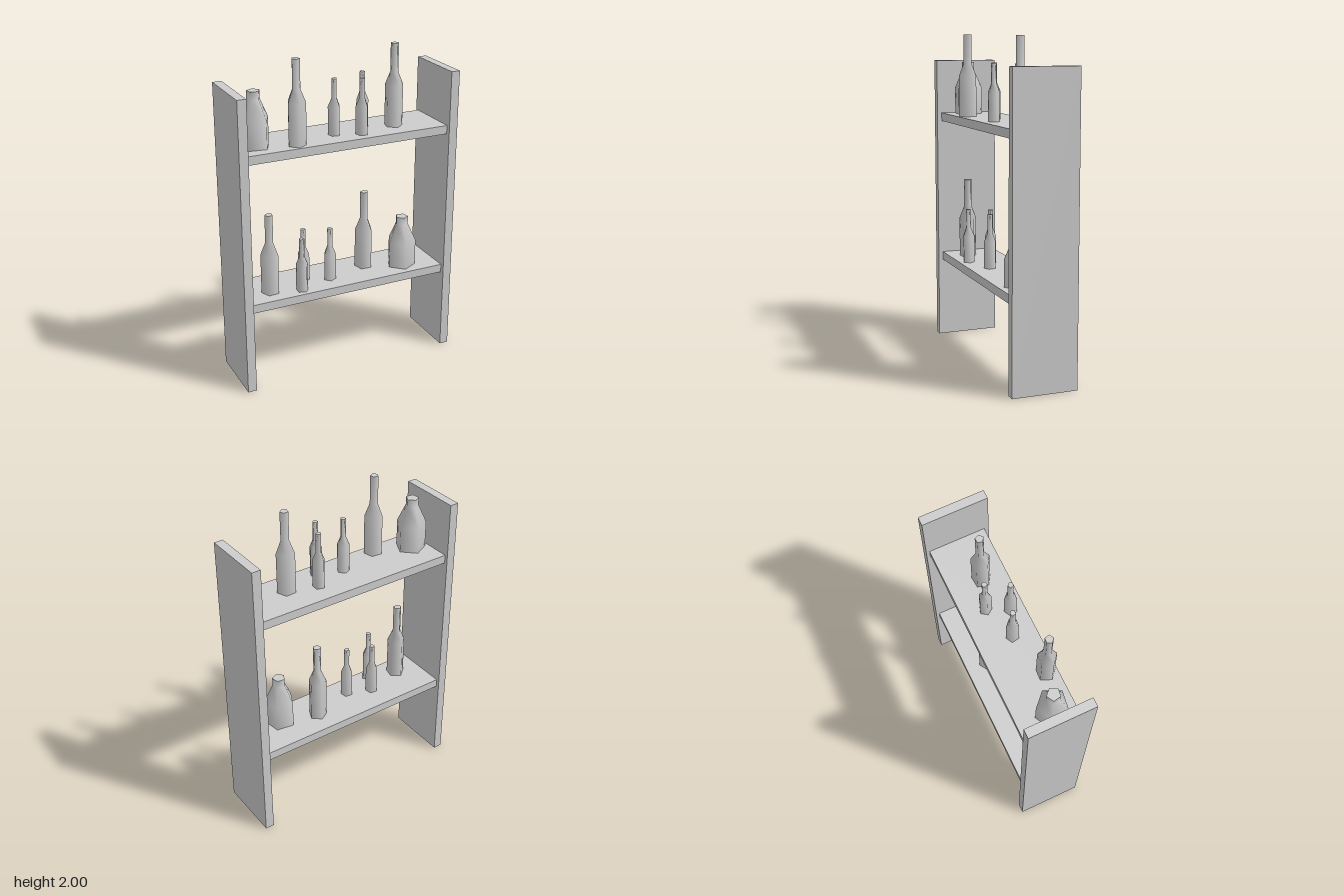
import * as THREE from 'three';
import { mergeGeometries } from 'three/addons/utils/BufferGeometryUtils.js';

const grey = new THREE.MeshStandardMaterial({ color: 0xcccccc, side: THREE.DoubleSide });
grey.name = 'plain grey';

// Box made of chosen faces only (0 +x, 1 -x, 2 +y, 3 -y, 4 +z, 5 -z)
function openBox(w, h, d, faces) {
  const geo = new THREE.BoxGeometry(w, h, d);
  const all = Array.from(geo.index.array);
  geo.setIndex(faces.flatMap((f) => all.slice(f * 6, f * 6 + 6)));
  geo.clearGroups();
  return geo;
}

function addMesh(parent, name, geo, x, y, z) {
  const mesh = new THREE.Mesh(geo, grey);
  mesh.name = name;
  mesh.position.set(x, y, z);
  parent.add(mesh);
  return mesh;
}

// Profiles as [radius, height]; the open foot sinks slightly into the shelf
const SINK = -0.008;
const slim = (s) => [[0.038 * s, SINK], [0.038 * s, 0.17 * s], [0.017 * s, 0.222 * s], [0.017 * s, 0.34 * s]];
const profiles = {
  smallBottle: slim(1),
  tallBottle: slim(1.485),
  wideBottle: [[0.092, SINK], [0.092, 0.165], [0.04, 0.28], [0.04, 0.33]],
};

// Five-sided bottle with smooth sides and a flat cap
function bottleGeometry(profile) {
  const points = profile.map(([r, y]) => new THREE.Vector2(r, y));
  const top = points[points.length - 1];
  return mergeGeometries([
    new THREE.LatheGeometry(points, 5),
    new THREE.LatheGeometry([top, new THREE.Vector2(0, top.y)], 5),
  ]);
}

// Kind, x, z, direction of one corner in degrees from +x towards +z
const bottles = [
  ['wideBottle', -0.538, 0.025, -82],
  ['tallBottle', -0.313, 0.103, 94],
  ['smallBottle', -0.04, 0.028, -10],
  ['smallBottle', 0.112, 0.088, -10],
  ['smallBottle', 0.175, -0.04, 180],
  ['tallBottle', 0.357, 0.02, 85],
];

export function createModel() {
  const model = new THREE.Group();
  model.name = 'bottleShelf';

  // Side panels, open underneath
  for (const [name, side] of [['leftPanel', 1], ['rightPanel', -1]]) {
    addMesh(model, name, openBox(0.055, 1.835, 0.4, [0, 1, 2, 4, 5]), side * 0.672, 0.9175, 0);
  }

  // Hollow shelves: top, front and back faces
  const shelves = [['lowerShelf', 0.565], ['upperShelf', 1.495]];
  for (const [name, top] of shelves) {
    addMesh(model, name, openBox(1.29, 0.053, 0.35, [2, 4, 5]), 0, top - 0.0265, -0.004);
  }

  // The same set of bottles on both shelves, turned half round on the lower one
  const geos = {};
  for (const kind in profiles) geos[kind] = bottleGeometry(profiles[kind]);
  for (const [name, top] of shelves) {
    const set = new THREE.Group();
    set.name = name + 'Bottles';
    set.position.y = top;
    for (const [kind, x, z, corner] of bottles) {
      const bottle = addMesh(set, kind, geos[kind], x, 0, z);
      bottle.rotation.y = THREE.MathUtils.degToRad(90 - corner);
    }
    if (name === 'lowerShelf') {
      set.rotation.y = Math.PI;
      set.position.x = -0.12;
      set.position.z = 0.07;
    }
    model.add(set);
  }
  return model;
}
